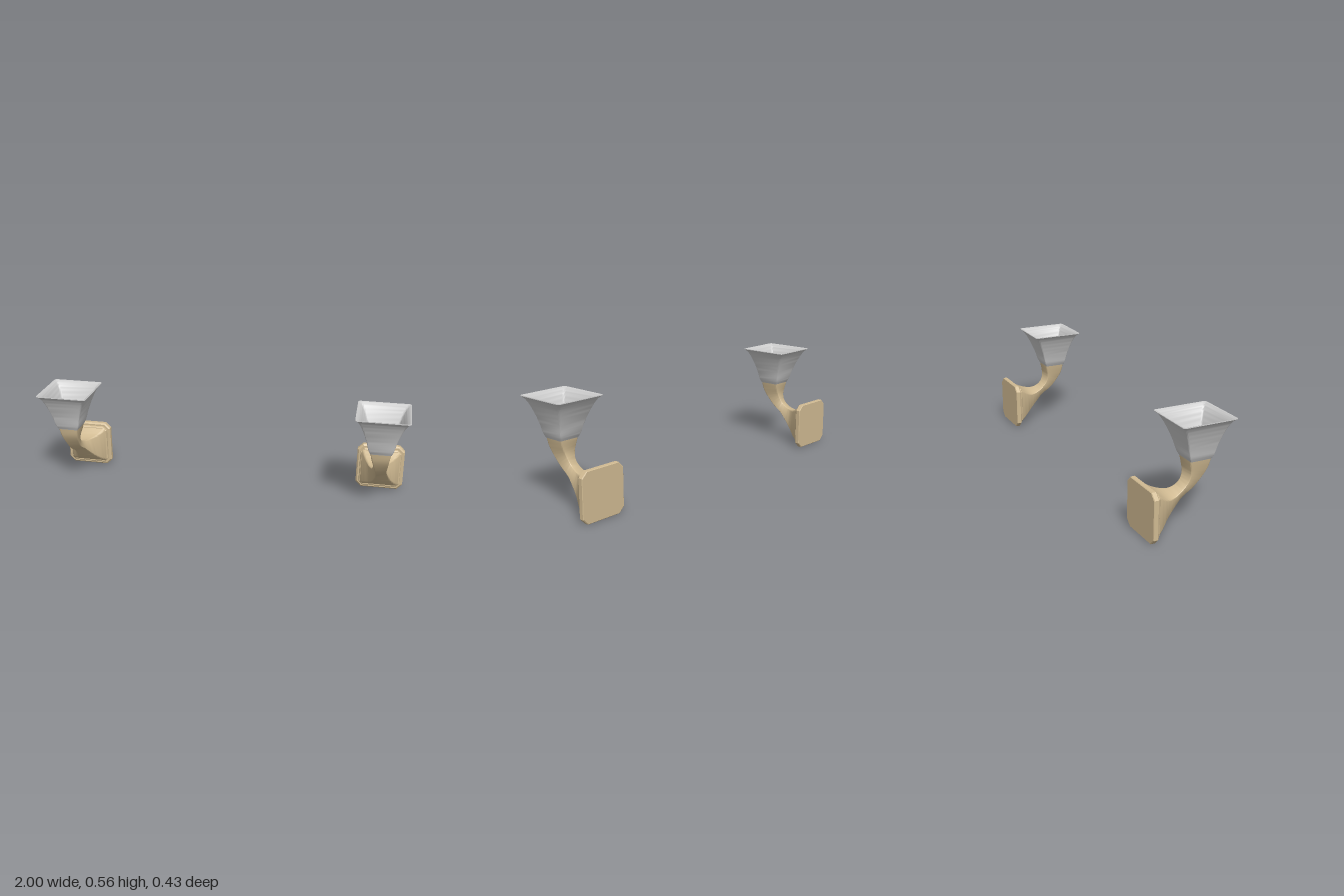
import * as THREE from 'three';
import { toCreasedNormals } from 'three/addons/utils/BufferGeometryUtils.js';

const brass = new THREE.MeshStandardMaterial({ color: 0xd0ba92 });
const glass = new THREE.MeshStandardMaterial({ color: 0xcccccc });

// Counter-clockwise square with half sizes w, h and corners of size r (seg 1 = chamfered)
function square(w, h, r, seg) {
  const points = [];
  const corners = [[1, 1], [-1, 1], [-1, -1], [1, -1]];
  corners.forEach(([sx, sy], q) => {
    for (let k = 0; k <= seg; k++) {
      const a = (q + k / seg) * Math.PI / 2;
      points.push([sx * (w - r) + r * Math.cos(a), sy * (h - r) + r * Math.sin(a)]);
    }
  });
  return points;
}

// Skin over a list of rings, closed with a cap at each end
function loft(rings, crease) {
  const n = rings[0].length;
  const pos = [];
  const index = [];
  const centre = ring => ring.reduce((s, p) => s.add(p), new THREE.Vector3()).divideScalar(n);
  rings.forEach(ring => ring.forEach(p => pos.push(p.x, p.y, p.z)));
  const first = rings.length * n;
  const last = (rings.length - 1) * n;
  for (const ring of [rings[0], rings[rings.length - 1]]) {
    const c = centre(ring);
    pos.push(c.x, c.y, c.z);
  }
  for (let j = 0; j < n; j++) {
    const k = (j + 1) % n;
    for (let i = 0; i < rings.length - 1; i++) {
      const a = i * n, b = a + n;
      index.push(a + j, a + k, b + k, a + j, b + k, b + j);
    }
    index.push(first, k, j, first + 1, last + j, last + k);
  }
  const geo = new THREE.BufferGeometry();
  geo.setAttribute('position', new THREE.Float32BufferAttribute(pos, 3));
  geo.setIndex(index);
  return toCreasedNormals(geo, crease);
}

// Stepped wall plate with clipped corners: [z, half size, corner]
function plateGeometry() {
  const steps = [
    [-0.216, 0.128, 0.03], [-0.213, 0.131, 0.03], [-0.192, 0.131, 0.03], [-0.184, 0.123, 0.026],
    [-0.184, 0.114, 0.022], [-0.175, 0.112, 0.02], [-0.171, 0.107, 0.018],
  ];
  return loft(steps.map(([z, s, r]) =>
    square(s, s, r, 1).map(([x, y]) => new THREE.Vector3(x, y + 0.131, z))), 0.35);
}

// Curved arm between an outer and an inner profile
function armGeometry() {
  // outer z, outer y, inner z, inner y, half width
  const stations = [
    [-0.175, 0.028, -0.175, 0.237, 0.108],
    [-0.13, 0.052, -0.13, 0.213, 0.085],
    [-0.09, 0.078, -0.09, 0.204, 0.065],
    [-0.04, 0.122, -0.055, 0.205, 0.05],
    [0, 0.16, -0.015, 0.222, 0.041],
    [0.06, 0.2, 0.008, 0.248, 0.038],
    [0.1, 0.25, 0.02, 0.28, 0.042],
    [0.125, 0.3, 0.022, 0.31, 0.047],
    [0.135, 0.354, 0.018, 0.354, 0.054],
  ];
  const outer = new THREE.CatmullRomCurve3(stations.map(s => new THREE.Vector3(s[4], s[1], s[0])));
  const inner = new THREE.CatmullRomCurve3(stations.map(s => new THREE.Vector3(s[4], s[3], s[2])));
  const rings = [];
  const count = 40;
  for (let i = 0; i <= count; i++) {
    const o = outer.getPoint(i / count);
    const p = inner.getPoint(i / count);
    const twist = 0.35 * Math.sin(Math.PI * i / count) ** 2;
    const c = Math.cos(twist), s = Math.sin(twist);
    const fit = 1 / (c + s);
    rings.push(square(1, 1, 0.14, 3).map(([u, v]) => {
      const x = (u * c - v * s) * fit;
      const t = ((u * s + v * c) * fit + 1) / 2;
      return new THREE.Vector3(x * o.x, o.y + (p.y - o.y) * t, o.z + (p.z - o.z) * t);
    }));
  }
  return loft(rings, 0.6);
}

// Hollow flared shade: up the outside, over the rim and down to the floor
function shadeGeometry() {
  const profile = new THREE.CatmullRomCurve3([
    [0.058, 0.349], [0.068, 0.372], [0.08, 0.42], [0.098, 0.475],
    [0.119, 0.525], [0.134, 0.549], [0.147, 0.56],
  ].map(([s, y]) => new THREE.Vector3(s, y, 0)));
  const wall = profile.getPoints(24);
  const inside = wall.slice(2).reverse().map(p => new THREE.Vector3(p.x - 0.006, p.y + 0.003, 0));
  const rim = [new THREE.Vector3(0.147, 0.563, 0)];
  return loft([...wall, ...rim, ...inside].map(({ x: s, y }) => {
    const zc = 0.077 - 0.009 * (y - 0.35) / 0.21;
    return square(s * 0.96, s, s * 0.1, 4).map(([u, v]) => new THREE.Vector3(u, y, zc - v));
  }), 0.7);
}

export function createModel() {
  const model = new THREE.Group();
  const parts = [
    ['wallPlate', plateGeometry(), brass],
    ['arm', armGeometry(), brass],
    ['shade', shadeGeometry(), glass],
  ];
  for (const [name, x] of [['leftSconce', 0.859], ['rightSconce', -0.859]]) {
    const sconce = new THREE.Group();
    sconce.name = name;
    sconce.position.x = x;
    for (const [part, geometry, material] of parts) {
      const mesh = new THREE.Mesh(geometry, material);
      mesh.name = part;
      sconce.add(mesh);
    }
    model.add(sconce);
  }
  return model;
}
